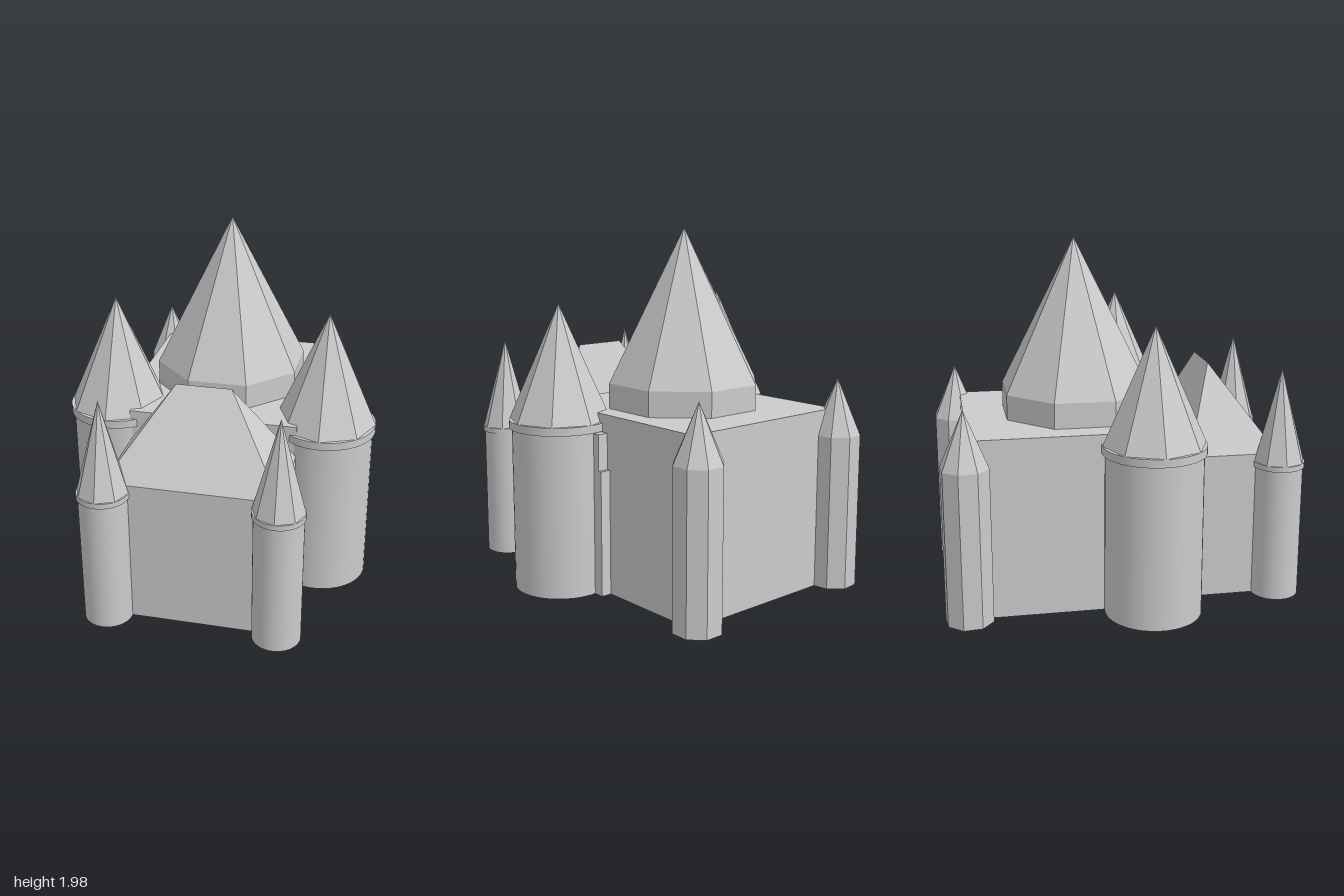
import * as THREE from 'three';

const smooth = new THREE.MeshStandardMaterial({ color: 0xcccccc });
const flat = new THREE.MeshStandardMaterial({ color: 0xcccccc, flatShading: true });

function add(parent, name, geometry, material = flat) {
  const mesh = new THREE.Mesh(geometry, material);
  mesh.name = name;
  parent.add(mesh);
  return mesh;
}

// Box given by its lower and upper corners
function block(parent, name, [x0, y0, z0], [x1, y1, z1]) {
  const mesh = add(parent, name, new THREE.BoxGeometry(x1 - x0, y1 - y0, z1 - z0));
  mesh.position.set((x0 + x1) / 2, (y0 + y1) / 2, (z0 + z1) / 2);
}

// Upright cylinder or cone between two heights
function column(parent, name, rTop, rBottom, y0, y1, sides, turn = 0) {
  const geometry = new THREE.CylinderGeometry(rTop, rBottom, y1 - y0, sides);
  geometry.rotateY(turn).translate(0, (y0 + y1) / 2, 0);
  add(parent, name, geometry, sides > 8 ? smooth : flat);
}

// Round tower with a projecting rim and an eight-sided spire
function roundTower(parent, name, x, z, r, rRim, yRim, yEave, yTip) {
  const tower = new THREE.Group();
  tower.name = name;
  tower.position.set(x, 0, z);
  column(tower, 'shaft', r, r, 0, yRim, 48);
  column(tower, 'rim', rRim, rRim, yRim, yEave, 48);
  column(tower, 'spire', 0, rRim, yEave, yTip, 8);
  parent.add(tower);
}

// Eight-sided tower with flat sides facing the axes
function octagonTower(parent, name, x, z, r, y0, yEave, yTip, turn = 0) {
  const tower = new THREE.Group();
  tower.name = name;
  tower.position.set(x, 0, z);
  column(tower, 'shaft', r, r, y0, yEave, 8, Math.PI / 8 + turn);
  column(tower, 'spire', 0, r, yEave, yTip, 8, Math.PI / 8 + turn);
  parent.add(tower);
}

// Box whose top corners are pulled in to form a hipped ridge
function hipRoof(parent, name, halfWidth, halfRidge, zBack, zFront, zRidge, yEave, yTop) {
  const geometry = new THREE.BoxGeometry(2, 2, 2).toNonIndexed();
  const p = geometry.attributes.position;
  for (let i = 0; i < p.count; i++) {
    const sx = Math.sign(p.getX(i));
    if (p.getY(i) > 0) p.setXYZ(i, sx * halfRidge, yTop, zRidge);
    else p.setXYZ(i, sx * halfWidth, yEave, p.getZ(i) > 0 ? zFront : zBack);
  }
  geometry.computeVertexNormals();
  add(parent, name, geometry);
}

export function createModel() {
  const castle = new THREE.Group();
  castle.name = 'castle';

  // Main halls
  block(castle, 'rearHall', [-0.55, 0, -0.85], [0.51, 1.0, 0.1]);
  block(castle, 'middleHall', [-0.47, 0, -0.13], [0.47, 1.0, 0.35]);
  block(castle, 'gatehouse', [-0.47, 0, 0.3], [0.47, 0.82, 0.85]);
  hipRoof(castle, 'gatehouseRoof', 0.47, 0.15, 0.35, 0.85, 0.525, 0.82, 1.275);

  // Small stepped buttress beside one side tower
  block(castle, 'lowerButtress', [0.4, 0, -0.2], [0.57, 0.7, 0]);
  block(castle, 'upperButtress', [0.4, 0, -0.18], [0.57, 0.9, 0]);

  // Central keep rising from the hall roof
  octagonTower(castle, 'keep', -0.01, -0.215, 0.433, 0.98, 1.14, 1.98);

  // Side towers and front turrets
  for (const side of [-1, 1]) {
    const label = side > 0 ? 'left' : 'right';
    roundTower(castle, label + 'SideTower', side * 0.597, 0.125, 0.265, 0.28, 0.905, 0.95, 1.58);
    roundTower(castle, label + 'FrontTurret', side * 0.468, 0.857, 0.133, 0.141, 0.75, 0.78, 1.3);
  }

  // Rear turrets
  octagonTower(castle, 'rightRearTurret', -0.555, -0.87, 0.133, 0, 0.86, 1.17, 0.1);
  octagonTower(castle, 'leftRearTurret', 0.495, -0.875, 0.135, 0, 0.86, 1.17);

  return castle;
}
